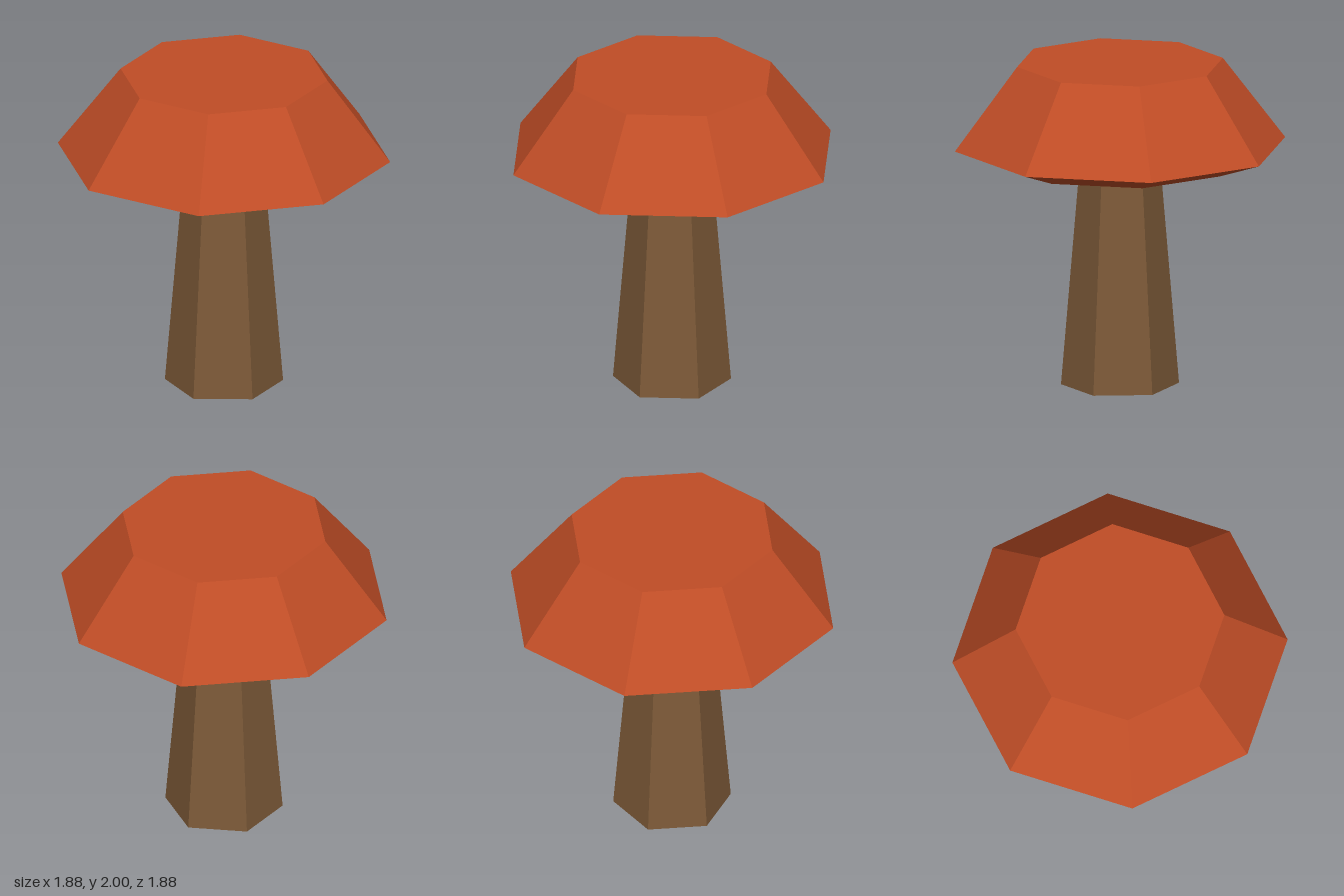
import * as THREE from 'three';
import { toCreasedNormals } from 'three/addons/utils/BufferGeometryUtils.js';

export function createModel() {
  const group = new THREE.Group();
  const capRed = new THREE.MeshStandardMaterial({ color: 0xc04d26 });
  capRed.name = 'capRed';
  const stemBrown = new THREE.MeshStandardMaterial({ color: 0x7d5a38 });
  stemBrown.name = 'stemBrown';

  const add = (name, geometry, material) => {
    // Keep edges sharp, but soften the shallow underside of the cap
    const mesh = new THREE.Mesh(toCreasedNormals(geometry, Math.PI / 6), material);
    mesh.name = name;
    group.add(mesh);
    return mesh;
  };

  // Tapered six-sided stem with corners facing front and back
  const stemHeight = 1.4;
  add('stem', new THREE.CylinderGeometry(0.242, 0.358, stemHeight, 6), stemBrown)
    .position.y = stemHeight / 2;

  // Eight-sided cap: flat underside, flared lip, sloped sides, flat top
  const profile = [[0, 1.39], [0.735, 1.39], [1.018, 1.49], [0.634, 2], [0, 2]]
    .map(([r, y]) => new THREE.Vector2(r, y));
  add('cap', new THREE.LatheGeometry(profile, 8, Math.PI / 8), capRed);

  return group;
}
